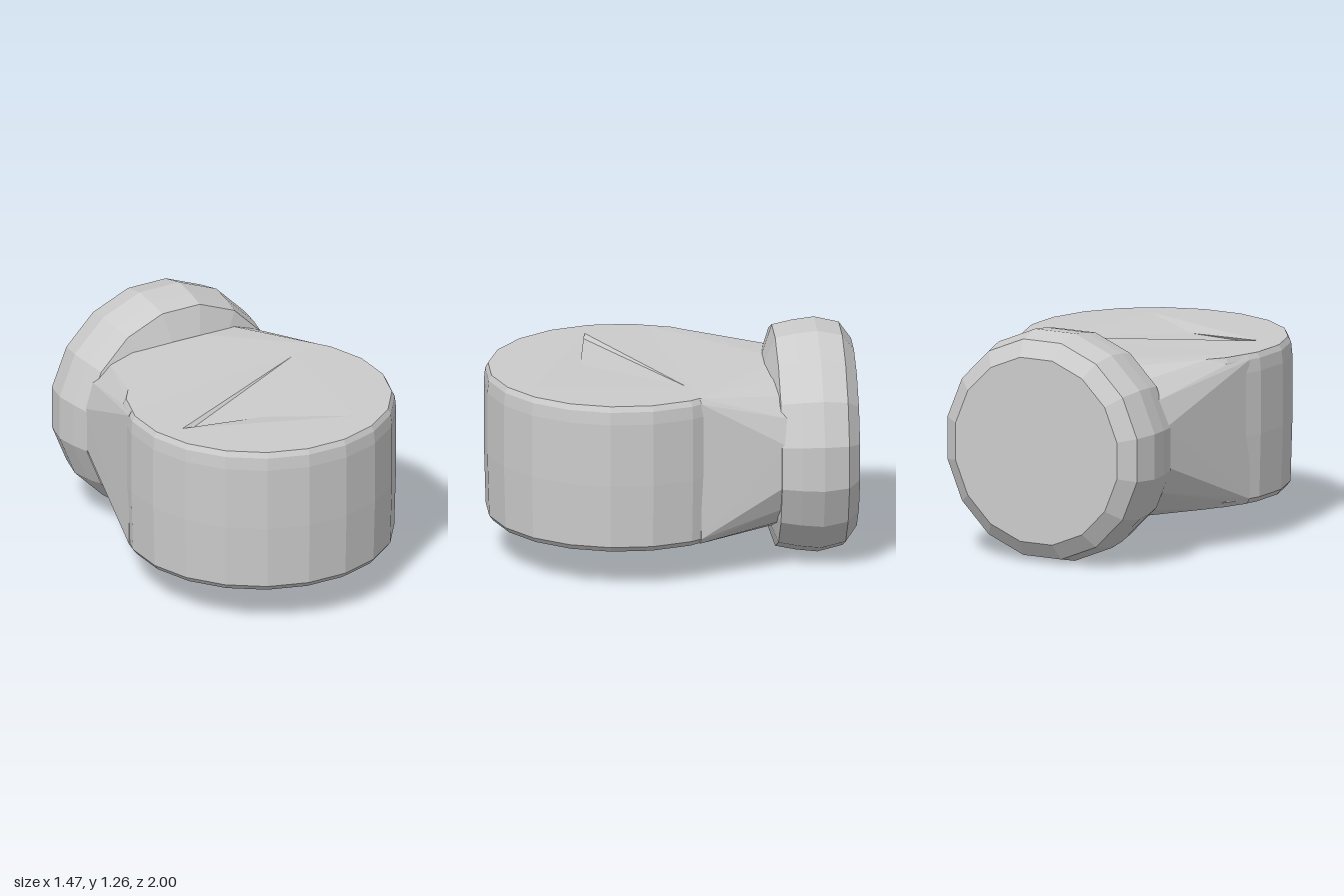
import * as THREE from 'three';
import { ConvexGeometry } from 'three/addons/geometries/ConvexGeometry.js';

const BODY_SIDES = 20, BODY_Z = 0.26, TOP = 1.05, BASE = 0.22;
const RIM_R = 0.722, BODY_R = 0.745;

export function createModel() {
  const group = new THREE.Group();
  const material = new THREE.MeshStandardMaterial({ color: 0xcccccc, flatShading: true, side: THREE.DoubleSide });
  const add = (name, geometry) => {
    const mesh = new THREE.Mesh(geometry, material);
    mesh.name = name;
    group.add(mesh);
    return mesh;
  };
  const profile = (pairs) => pairs.map(([r, y]) => new THREE.Vector2(r, y));

  // Upright drum with bevelled rims, open at the top
  const drum = new THREE.LatheGeometry(
    profile([[0, BASE], [RIM_R - 0.01, BASE], [0.735, 0.25], [BODY_R, 0.6], [BODY_R, 0.95], [0.738, 1.02], [RIM_R, TOP]]),
    BODY_SIDES, Math.PI / BODY_SIDES);
  add('drumBody', drum).position.z = BODY_Z;

  // Top plate with a shallow creased dent cut into it
  const A = [-0.57, TOP, 0.41], B = [0.41, TOP, -0.07], C = [0.32, TOP, 0.75];
  const lowA = [-0.55, 1.03, 0.425], D = [-0.1, 1.03, 0.47];
  const rim = [];
  for (let i = 0; i < BODY_SIDES; i++) {
    const a = (i + 0.5) * 2 * Math.PI / BODY_SIDES;
    rim.push(new THREE.Vector2(RIM_R * Math.sin(a), -(BODY_Z + RIM_R * Math.cos(a))));
  }
  const plate = new THREE.Shape(rim);
  plate.holes.push(new THREE.Path([A, B, C].map(p => new THREE.Vector2(p[0], -p[2]))));
  add('topPlate', new THREE.ShapeGeometry(plate).rotateX(-Math.PI / 2)).position.y = TOP;

  // Floor of the dent; each triangle runs counter-clockwise from above
  const dent = new THREE.BufferGeometry();
  const corners = [A, lowA, B, lowA, D, B, D, C, B, A, C, D, A, D, lowA].flat();
  dent.setAttribute('position', new THREE.Float32BufferAttribute(corners, 3));
  dent.computeVertexNormals();
  add('topDent', dent);

  // Neck: hull from the back of the drum to a rounded section at the disc
  const points = [];
  for (const degrees of [-75, -54, -36, -18, 0, 18, 36, 58]) {
    const a = THREE.MathUtils.degToRad(degrees);
    for (const [r, y] of [[0.715, BASE], [0.733, 0.25], [0.733, 1.02], [0.715, TOP]]) {
      points.push(new THREE.Vector3(r * Math.sin(a), y, BODY_Z - r * Math.cos(a)));
    }
  }
  for (let i = 0; i < 18; i++) {
    const a = i / 18 * 2 * Math.PI, s = Math.sin(a), c = Math.cos(a);
    const power = c > 0 ? 0.7 : 0.9;
    points.push(new THREE.Vector3(
      0.595 * Math.sign(s) * Math.abs(s) ** power,
      0.625 + 0.445 * Math.sign(c) * Math.abs(c) ** power, -0.6));
  }
  add('neck', new ConvexGeometry(points));

  // Rounded disc at the back, its axis pointing along z
  const disc = new THREE.LatheGeometry(
    profile([[0, -1], [0.52, -1], [0.61, -0.935], [0.642, -0.8], [0.628, -0.68], [0.605, -0.57], [0.45, -0.515], [0, -0.515]]),
    16, Math.PI / 16);
  disc.rotateX(Math.PI / 2);
  add('backDisc', disc).position.y = 0.63;

  return group;
}
